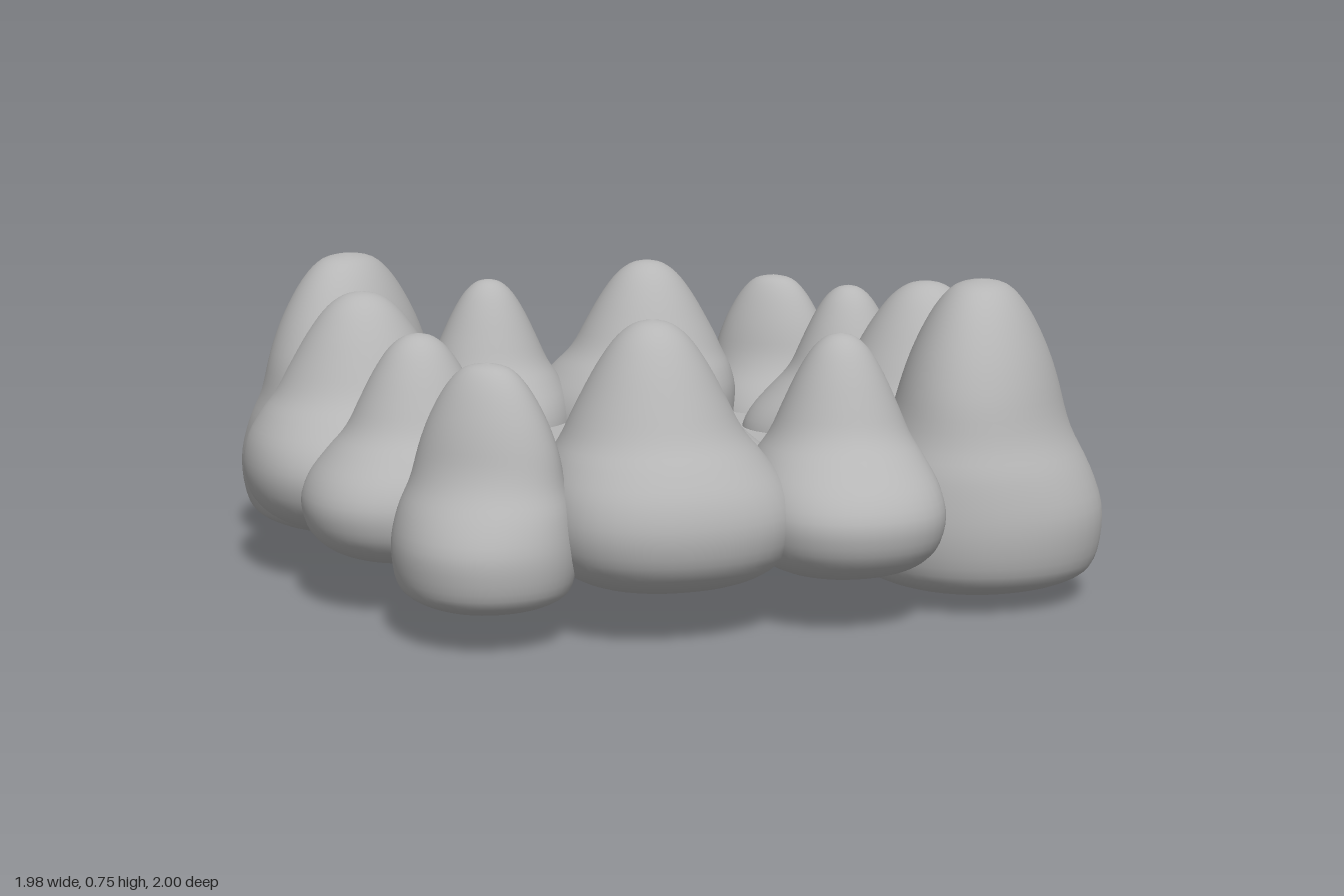
import * as THREE from 'three';

const stone = new THREE.MeshStandardMaterial({ color: 0xb6b6b6 });
stone.name = 'grey stone';
const floorStone = stone.clone();
floorStone.name = 'grey floor stone';
floorStone.side = THREE.DoubleSide;

const spline = (pts) =>
  new THREE.SplineCurve(pts.map(([r, h]) => new THREE.Vector2(r, h))).getPoints(44);

// Silhouettes as [relative radius, relative height]
const BELL = spline([[0, 0], [0.42, 0.008], [0.74, 0.05], [0.93, 0.13], [1, 0.25], [0.97, 0.38], [0.86, 0.49],
  [0.73, 0.58], [0.6, 0.7], [0.45, 0.83], [0.3, 0.93], [0.15, 0.985], [0, 1]]);
const DOME = spline([[0, 0], [0.48, 0.012], [0.8, 0.05], [0.95, 0.11], [1, 0.25], [0.94, 0.4], [0.83, 0.52],
  [0.74, 0.66], [0.61, 0.79], [0.43, 0.91], [0.24, 0.98], [0, 1]]);

const SEG = 48;

// Loft of rounded outlines from a wide base to a narrower, offset peak
function rock(name, [x0, x1, z0, z1], [px, pz], y0, y1, corner = false) {
  const a = (x1 - x0) / 2, b = (z1 - z0) / 2, m = Math.min(a, b);
  const cx = (x0 + x1) / 2, cz = (z0 + z1) / 2;
  const ux = Math.sign(cx) * Math.SQRT1_2, uz = Math.sign(cz) * Math.SQRT1_2;
  const alongX = Math.abs(cx) > Math.abs(cz);
  const profile = corner ? DOME : BELL;
  const pos = [], index = [];
  profile.forEach((p, i) => {
    const r = Math.max(0, p.x);
    const t = THREE.MathUtils.smoothstep(p.y, 0.25, 0.65);
    const ax = THREE.MathUtils.lerp(a, m, t), bz = THREE.MathUtils.lerp(b, m, t);
    const n = THREE.MathUtils.lerp(2.15, 2, t);
    for (let j = 0; j < SEG; j++) {
      const th = (j / SEG) * Math.PI * 2, c = Math.cos(th), s = Math.sin(th);
      const k = r / Math.pow(Math.abs(c) ** n + Math.abs(s) ** n, 1 / n);
      let dx = c * k * ax, dz = s * k * bz;
      if (corner) {
        // flatten the crest across the diagonal so it becomes a broad wall
        const d = (dx * ux + dz * uz) * 0.28 * t;
        dx = dx * (1 + 0.08 * t) - d * ux;
        dz = dz * (1 + 0.12 * t) - d * uz;
      } else if (alongX) {
        // fan the base out towards the rim
        dz *= 1 + 0.16 * (1 - t) * Math.sign(cx) * c * k;
      } else {
        dx *= 1 + 0.16 * (1 - t) * Math.sign(cz) * s * k;
      }
      pos.push(THREE.MathUtils.lerp(cx, px, t) + dx, y0 + (y1 - y0) * p.y,
        THREE.MathUtils.lerp(cz, pz, t) + dz);
      if (i < profile.length - 1) {
        const A = i * SEG + j, D = i * SEG + ((j + 1) % SEG), B = A + SEG, C = D + SEG;
        index.push(A, B, C, A, C, D);
      }
    }
  });
  const geo = new THREE.BufferGeometry();
  geo.setAttribute('position', new THREE.Float32BufferAttribute(pos, 3));
  geo.setIndex(index);
  geo.computeVertexNormals();
  const mesh = new THREE.Mesh(geo, stone);
  mesh.name = name;
  return mesh;
}

// Thin floor sheet raised into a lopsided mound with a ringed hollow near its crest
function floorSheet() {
  const geo = new THREE.PlaneGeometry(1.2, 1.2, 120, 120);
  geo.rotateX(-Math.PI / 2);
  const p = geo.attributes.position;
  const blob = (x, z, cx, cz, w) => Math.exp(-((x - cx) ** 2 + (z - cz) ** 2) / (w * w));
  for (let i = 0; i < p.count; i++) {
    const x = p.getX(i), z = p.getZ(i);
    const dx = x - 0.06, dz = z + 0.02;
    const reach = 0.26 + 0.06 * Math.cos(Math.atan2(dz, dx) - 1.2);
    const f = Math.max(0, 1 - Math.hypot(dx, dz) / reach);
    let y = 0.265 + 0.21 * f * f * (3 - 2 * f);
    y += 0.03 * blob(x, z, 0.02, -0.08, 0.11);
    y -= 0.11 * blob(x, z, 0.015, -0.08, 0.06);
    y += 0.05 * blob(x, z, 0.03, -0.085, 0.025);
    y += 0.015 * blob(x, z, 0.08, -0.34, 0.05);
    p.setY(i, y);
  }
  geo.computeVertexNormals();
  const mesh = new THREE.Mesh(geo, floorStone);
  mesh.name = 'floor';
  return mesh;
}

export function createModel() {
  const group = new THREE.Group();
  group.name = 'rockRing';

  // Name, plan extent, peak, bottom, top, and whether it is a crested corner rock
  const rocks = [
    ['frontLeftCornerBoulder', [0.28, 0.89, 0.3, 0.93], [0.6, 0.625], 0.02, 0.755, true],
    ['backRightCornerBoulder', [-0.9, -0.27, -0.94, -0.3], [-0.61, -0.63], 0.005, 0.74, true],
    ['backLeftCornerRock', [0.42, 0.82, -0.86, -0.4], [0.63, -0.645], 0.09, 0.63, true],
    ['frontRightCornerRock', [-0.83, -0.43, 0.39, 0.86], [-0.62, 0.63], 0.075, 0.62, true],
    ['backSmallRock', [-0.4, 0.04, -1, -0.44], [-0.2, -0.7], 0.11, 0.645],
    ['backLargeRock', [-0.08, 0.5, -0.95, -0.36], [0.25, -0.66], 0.1, 0.685],
    ['leftSmallRock', [0.38, 0.94, -0.47, -0.04], [0.66, -0.22], 0.11, 0.645],
    ['leftLargeRock', [0.37, 0.985, -0.14, 0.45], [0.68, 0.19], 0.12, 0.7],
    ['frontSmallRock', [-0.04, 0.4, 0.43, 1], [0.2, 0.7], 0.11, 0.655],
    ['frontLargeRock', [-0.5, 0.06, 0.35, 0.95], [-0.24, 0.65], 0.1, 0.7],
    ['rightSmallRock', [-0.94, -0.39, 0, 0.47], [-0.66, 0.22], 0.11, 0.635],
    ['rightLargeRock', [-0.99, -0.38, -0.45, 0.14], [-0.69, -0.18], 0.11, 0.69],
  ];
  for (const r of rocks) group.add(rock(...r));

  group.add(floorSheet());
  return group;
}
